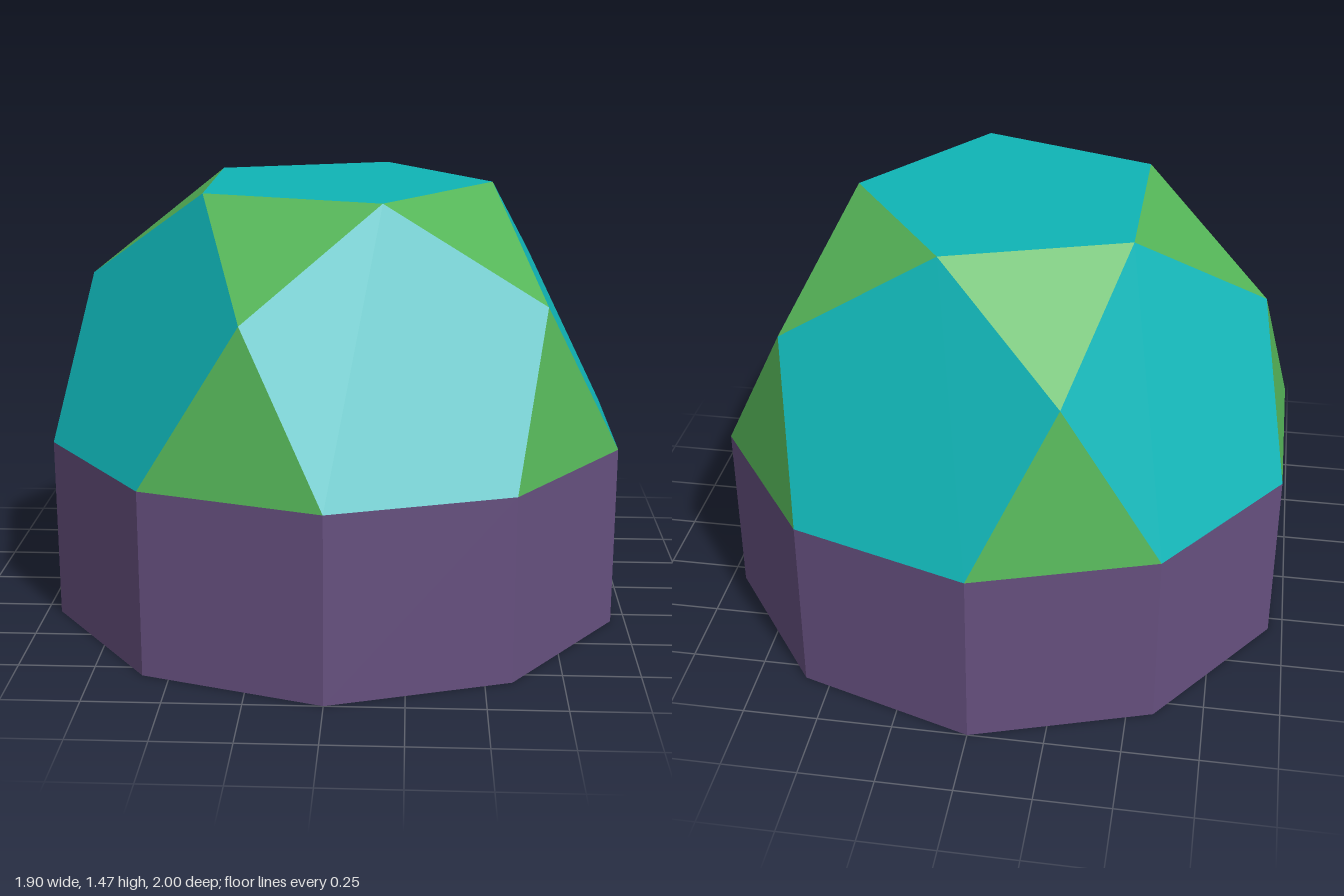
import * as THREE from 'three';

const EDGE = 0.618;
// Rings of the dome: radius and height
const TOP = { r: 0.5257, y: EDGE + 0.8507 };
const MID = { r: 0.8507, y: EDGE + 0.5257 };
const RIM = { r: 1, y: EDGE };
const FOOT = { r: 1, y: 0 };

function at(ring, degrees) {
  const a = THREE.MathUtils.degToRad(degrees);
  return new THREE.Vector3(ring.r * Math.cos(a), ring.y, ring.r * Math.sin(a));
}

// Mesh of flat convex faces, each a list of corners counter-clockwise from outside
function facetMesh(name, faces, material) {
  const points = [];
  for (const f of faces) {
    for (let i = 1; i < f.length - 1; i++) points.push(f[0], f[i], f[i + 1]);
  }
  const geometry = new THREE.BufferGeometry().setFromPoints(points);
  geometry.computeVertexNormals();
  const mesh = new THREE.Mesh(geometry, material);
  mesh.name = name;
  return mesh;
}

function makeMaterial(name, color) {
  const material = new THREE.MeshStandardMaterial({ color, flatShading: true });
  material.name = name;
  return material;
}

export function createModel() {
  const teal = makeMaterial('teal', 0x0fb4b6);
  const green = makeMaterial('green', 0x55b558);
  const purple = makeMaterial('purple', 0x66507f);

  const roof = [], pentagons = [], upper = [], lower = [], walls = [], floor = [];

  // Dome, five-fold around y
  for (let k = 0; k < 5; k++) {
    const a = 72 * k;
    roof.push(at(TOP, -a));
    pentagons.push([at(TOP, a), at(MID, a + 36), at(RIM, a + 18), at(RIM, a - 18), at(MID, a - 36)]);
    upper.push([at(TOP, a), at(TOP, a + 72), at(MID, a + 36)]);
    lower.push([at(MID, a + 36), at(RIM, a + 54), at(RIM, a + 18)]);
  }

  // Ten-sided base
  for (let k = 0; k < 10; k++) {
    const a = 18 + 36 * k;
    floor.push(at(FOOT, a));
    walls.push([at(RIM, a), at(RIM, a + 36), at(FOOT, a + 36), at(FOOT, a)]);
  }

  const model = new THREE.Group();
  model.name = 'elongatedRotunda';
  model.add(
    facetMesh('roofPentagon', [roof], teal),
    facetMesh('sidePentagons', pentagons, teal),
    facetMesh('upperTriangles', upper, green),
    facetMesh('lowerTriangles', lower, green),
    facetMesh('baseWalls', walls, purple),
    facetMesh('baseFloor', [floor], purple)
  );
  return model;
}
